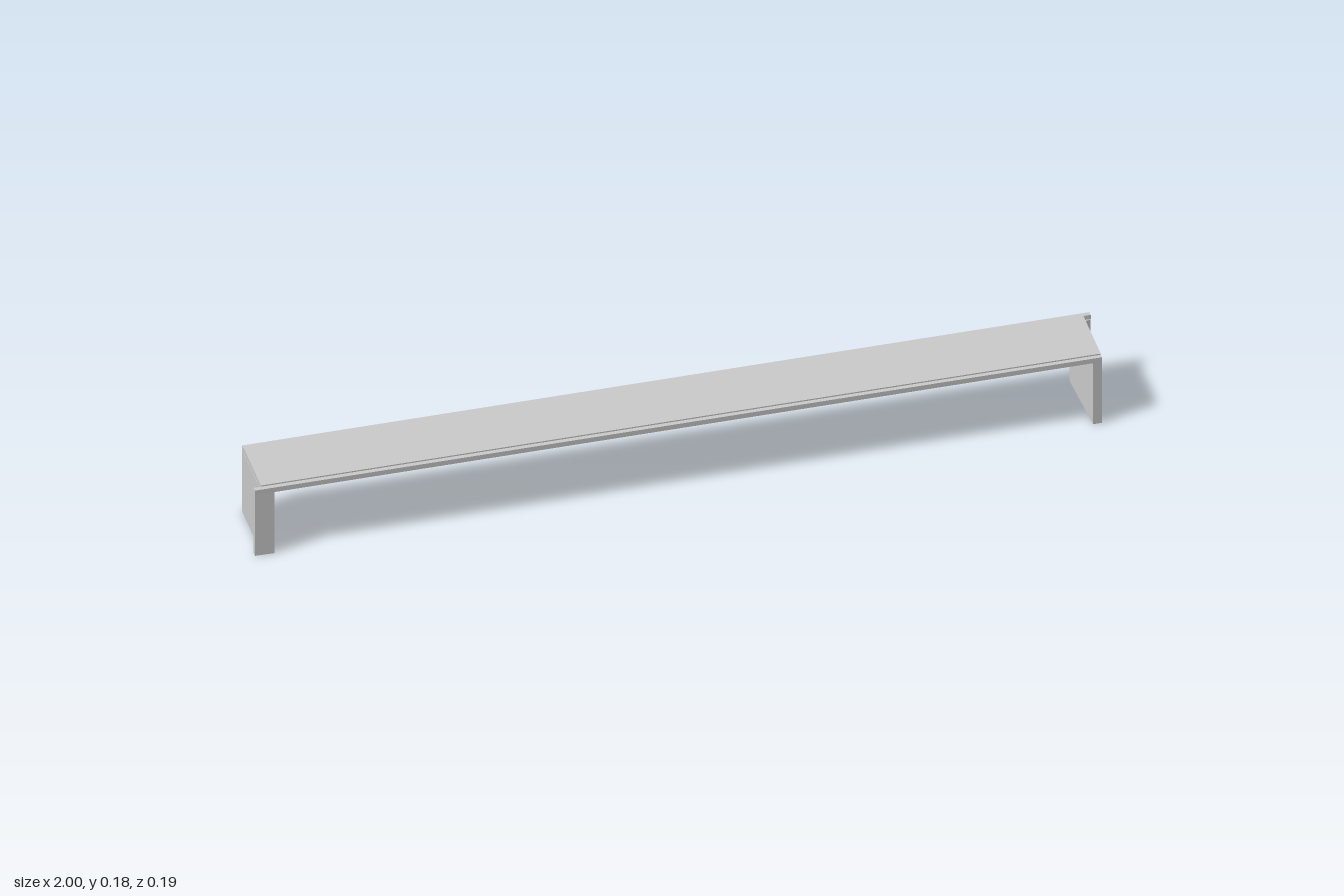
import * as THREE from 'three';

export function createModel() {
  const model = new THREE.Group();
  const material = new THREE.MeshStandardMaterial({ color: 0xcccccc, flatShading: true });

  // Upright prism from a plan outline of [x, z] points
  function prism(name, plan, bottom, top) {
    const shape = new THREE.Shape(plan.map(([x, z]) => new THREE.Vector2(x, -z)));
    const geometry = new THREE.ExtrudeGeometry(shape, { depth: top - bottom, bevelEnabled: false });
    geometry.rotateX(-Math.PI / 2).translate(0, bottom, 0);
    const mesh = new THREE.Mesh(geometry, material);
    mesh.name = name;
    return mesh;
  }

  // Long top board, its ends slightly slanted
  const boardEnd = [[0.975, 0.083], [0.982, -0.082]];
  const boardPlan = [...boardEnd, ...boardEnd.map(([x, z]) => [-x, -z])];
  model.add(prism('topBoard', boardPlan, 0.164, 0.177));

  // Each end is the other turned half way round
  for (const side of ['left', 'right']) {
    const end = new THREE.Group();
    end.name = side + 'End';

    // Leg panel with a flange turned outward along one edge
    end.add(prism(side + 'Leg', [
      [0.954, 0.094], [0.975, 0.094], [0.982, -0.077],
      [0.999, -0.079], [0.999, -0.093], [0.954, -0.094],
    ], 0, 0.163));

    // Edge rail running the length of the board and capping the flange
    end.add(prism(side + 'EdgeRail', [
      [-0.975, -0.094], [1, -0.094], [1, -0.082], [-0.975, -0.082],
    ], 0.162, 0.174));

    if (side === 'right') end.rotation.y = Math.PI;
    model.add(end);
  }
  return model;
}
